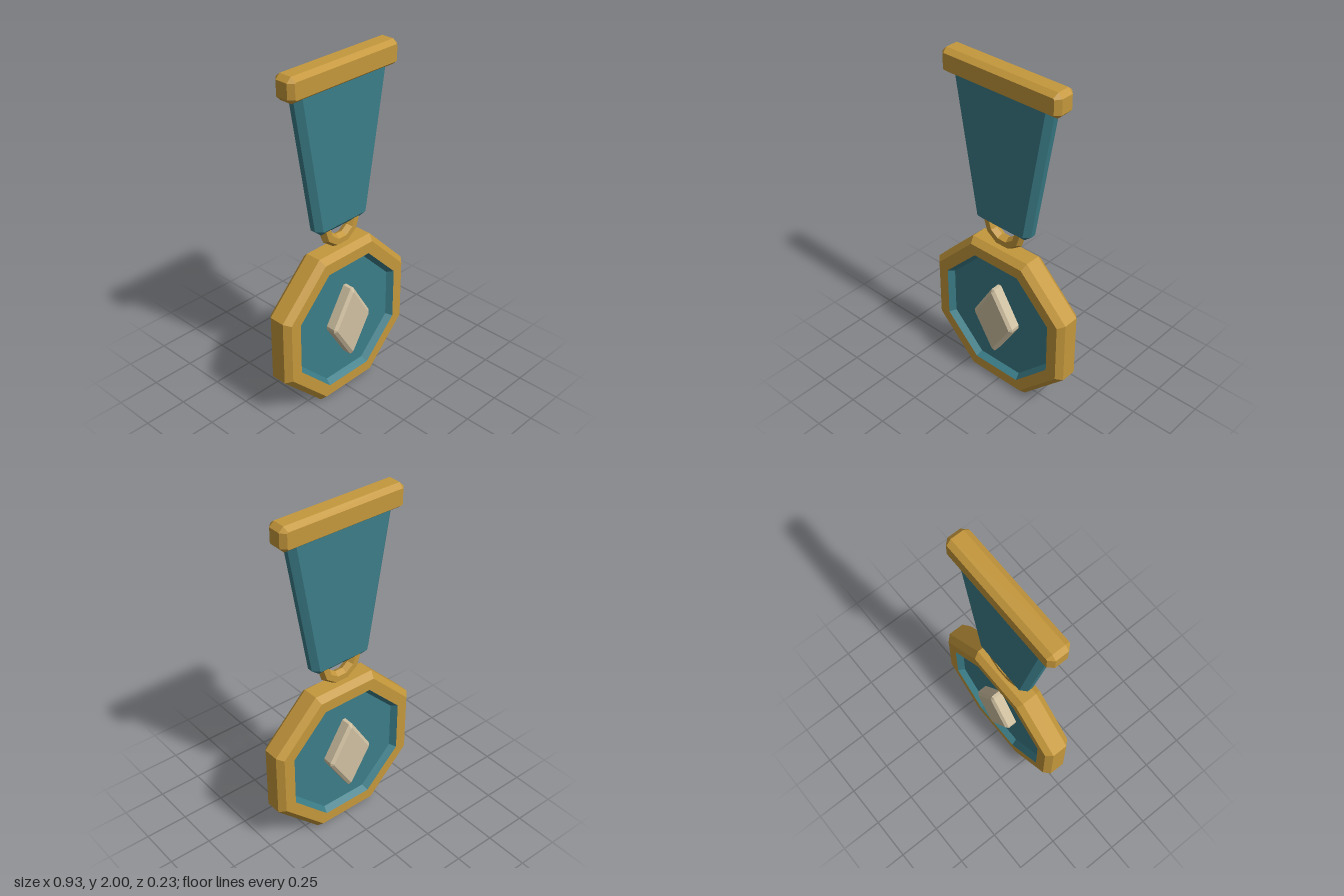
import * as THREE from 'three';

const gold = new THREE.MeshStandardMaterial({ name: 'gold', color: 0xc4973b, flatShading: true });
const teal = new THREE.MeshStandardMaterial({ name: 'teal', color: 0x3b7d88, flatShading: true });
const cream = new THREE.MeshStandardMaterial({ name: 'cream', color: 0xcfc0a1, flatShading: true });

// Flat slab with chamfered edges: outer outline at +-zSide, inner outline at +-zFace
// (both counter-clockwise with equal counts)
function chamferedSlab(outer, inner, zSide, zFace) {
  const rings = [[inner, -zFace], [outer, -zSide], [outer, zSide], [inner, zFace]];
  const n = outer.length, pos = [], idx = [];
  for (const [pts, z] of rings) for (const [x, y] of pts) pos.push(x, y, z);
  for (let r = 0; r < 3; r++) {
    for (let i = 0; i < n; i++) {
      const a = r * n + i, b = r * n + (i + 1) % n;
      idx.push(a, b, b + n, a, b + n, a + n);
    }
  }
  for (let i = 1; i < n - 1; i++) {
    idx.push(0, i + 1, i);
    idx.push(3 * n, 3 * n + i, 3 * n + i + 1);
  }
  const indexed = new THREE.BufferGeometry();
  indexed.setAttribute('position', new THREE.Float32BufferAttribute(pos, 3));
  indexed.setIndex(idx);
  const geometry = indexed.toNonIndexed();
  geometry.computeVertexNormals();
  return geometry;
}

// Eight-sided turned shape facing +z; profile is [apothem, z], from back to front
function octagonal(profile) {
  const k = 1 / Math.cos(Math.PI / 8);
  const pts = profile.map(([r, z]) => new THREE.Vector2(r * k, z));
  return new THREE.LatheGeometry(pts, 8, Math.PI / 8).rotateX(Math.PI / 2);
}

// Rectangle with its four corners cut
function cutRect(w, h, c) {
  return [[w, -h + c], [w, h - c], [w - c, h], [-w + c, h],
    [-w, h - c], [-w, -h + c], [-w + c, -h], [w - c, -h]];
}

// Rhombus with tiny flat tips
function rhombus(w, h, t) {
  return [[w, -t], [w, t], [t, h], [-t, h], [-w, t], [-w, -t], [-t, -h], [t, -h]];
}

// Mirror the right half of an outline (listed bottom to top) to the left
function mirrored(half) {
  return [...half, ...half.slice().reverse().map(([x, y]) => [-x, y])];
}

export function createModel() {
  const group = new THREE.Group();
  group.name = 'medal';
  const add = (name, geometry, material, y) => {
    const mesh = new THREE.Mesh(geometry, material);
    mesh.name = name;
    mesh.position.y = y;
    group.add(mesh);
  };

  // Octagonal medallion: rim, recessed disc on both sides, central gem
  add('medallionRim', octagonal([[0.37, -0.08], [0.435, -0.08], [0.467, -0.046],
    [0.467, 0.046], [0.435, 0.08], [0.37, 0.08]]), gold, 0.468);
  add('recessedDisc', octagonal([[0, -0.045], [0.346, -0.045], [0.37, -0.08],
    [0.37, 0.08], [0.346, 0.045], [0, 0.045]]), teal, 0.468);
  add('diamondGem', chamferedSlab(rhombus(0.14, 0.22, 0.01), rhombus(0.124, 0.197, 0.003),
    0.1, 0.114), cream, 0.472);

  // Hanging ring, its upper half inside the ribbon
  add('hangingRing', new THREE.TorusGeometry(0.11, 0.035, 6, 10), gold, 1.075);

  // Tapered ribbon, running up into the bar
  add('ribbon', chamferedSlab(
    mirrored([[0.148, 1.053], [0.193, 1.09], [0.332, 1.9]]),
    mirrored([[0.155, 1.085], [0.16, 1.09], [0.297, 1.9]]),
    0.016, 0.046), teal, 0);

  // Top bar
  add('topBar', chamferedSlab(cutRect(0.384, 0.068, 0.026), cutRect(0.358, 0.046, 0.006),
    0.037, 0.066), gold, 1.932);

  return group;
}
